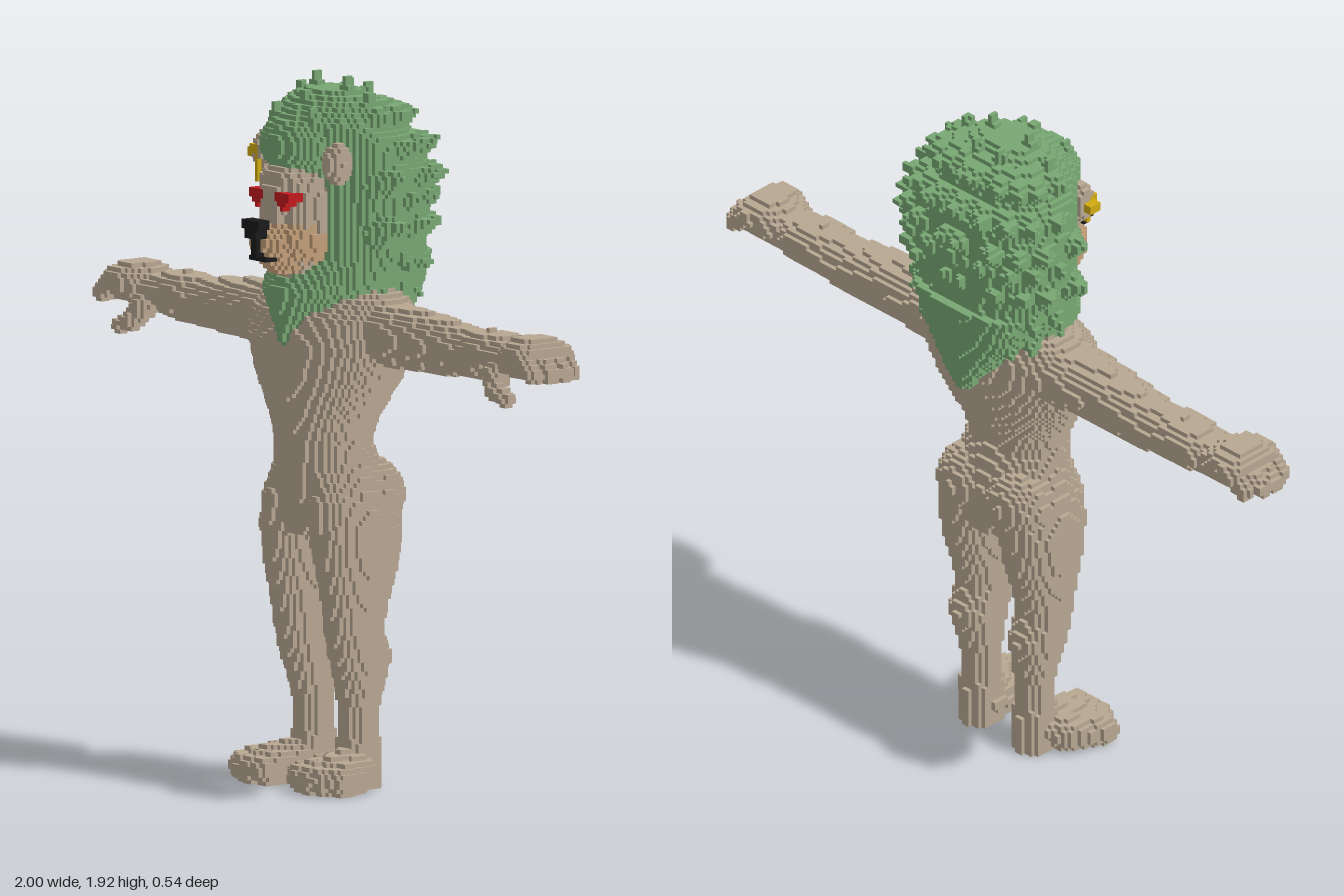
import * as THREE from 'three';

const S = 0.0125;                       // edge of one cube
const NX = 160, NY = 156, NZ = 46;      // grid size
const mix = (a, b, t) => a + (b - a) * t;

// Solid lofted from rows [t, centreU, radiusU, vFront, vBack] with a superellipse section
function loft(rows, nFront = 2.2, nBack = nFront) {
  const last = rows.length - 1;
  return (t, u, v) => {
    if (t < rows[0][0] || t > rows[last][0]) return false;
    let i = 0;
    while (i < last - 1 && t > rows[i + 1][0]) i++;
    const a = rows[i], b = rows[i + 1], k = (t - a[0]) / (b[0] - a[0]);
    const c = mix(a[1], b[1], k), r = mix(a[2], b[2], k);
    const f = mix(a[3], b[3], k), g = mix(a[4], b[4], k), mid = (f + g) / 2, h = (f - g) / 2;
    const n = v > mid ? nFront : nBack;
    return Math.abs((u - c) / r) ** n + Math.abs((v - mid) / h) ** n < 1;
  };
}

const ball = (cx, cy, cz, rx, ry, rz) => (x, y, z) =>
  ((x - cx) / rx) ** 2 + ((y - cy) / ry) ** 2 + ((z - cz) / rz) ** 2 < 1;

const block = (x0, x1, y0, y1, z0, z1) => (x, y, z) =>
  x > x0 && x < x1 && y > y0 && y < y1 && z > z0 && z < z1;

// Rounded cone from a to b
function cone(a, b, ra, rb) {
  const d = b.map((e, i) => e - a[i]);
  const len2 = d[0] ** 2 + d[1] ** 2 + d[2] ** 2;
  return (x, y, z) => {
    const px = x - a[0], py = y - a[1], pz = z - a[2];
    const t = Math.min(1, Math.max(0, (px * d[0] + py * d[1] + pz * d[2]) / len2));
    const r = mix(ra, rb, t);
    return (px - t * d[0]) ** 2 + (py - t * d[1]) ** 2 + (pz - t * d[2]) ** 2 < r * r;
  };
}

const any = (...tests) => (x, y, z, sx) => tests.some((f) => f(x, y, z, sx));
const upright = (f) => (x, y, z) => f(y, x, z);

// Torso with buttocks
const torso = any(
  upright(loft([
    [0.69, 0, 0.19, 0.12, -0.12], [0.8, 0, 0.187, 0.135, -0.125], [0.88, 0, 0.157, 0.137, -0.1],
    [0.94, 0, 0.143, 0.14, -0.08], [1.0, 0, 0.157, 0.15, -0.095], [1.06, 0, 0.197, 0.157, -0.12],
    [1.12, 0, 0.24, 0.163, -0.14], [1.2, 0, 0.275, 0.168, -0.16], [1.28, 0, 0.275, 0.15, -0.165],
    [1.33, 0, 0.25, 0.11, -0.15], [1.36, 0, 0.2, 0.06, -0.11],
  ])),
  ball(0.09, 0.79, -0.06, 0.095, 0.1, 0.085),
);

// Leg, with x mirrored
const leg = upright(loft([
  [0, 0.1, 0.052, 0.05, -0.07], [0.1, 0.1, 0.052, 0.045, -0.07], [0.2, 0.1, 0.047, 0.035, -0.06],
  [0.28, 0.106, 0.058, 0.05, -0.075], [0.36, 0.112, 0.066, 0.075, -0.095],
  [0.43, 0.113, 0.065, 0.09, -0.065], [0.5, 0.115, 0.067, 0.1, -0.08],
  [0.6, 0.115, 0.083, 0.12, -0.11], [0.7, 0.112, 0.092, 0.132, -0.125],
  [0.78, 0.1, 0.09, 0.135, -0.12], [0.86, 0.08, 0.07, 0.12, -0.09],
]));

// Foot: instep and four toes
const foot = any(
  cone([0.1, 0.06, 0], [0.14, 0.04, 0.1], 0.06, 0.06),
  ...[[0.085, 0.16], [0.13, 0.165], [0.175, 0.155], [0.215, 0.13]].map(([x, z]) =>
    cone([mix(0.1, x, 0.6), 0.05, 0.04], [x, 0.04, z], 0.05, 0.04)),
);

// Arm, lofted outwards along x
const armLoft = loft([
  [0.18, 1.25, 0.09, 0.08, -0.125], [0.3, 1.243, 0.08, 0.08, -0.11], [0.4, 1.243, 0.077, 0.065, -0.105],
  [0.5, 1.238, 0.071, 0.055, -0.1], [0.6, 1.234, 0.062, 0.045, -0.095],
  [0.68, 1.242, 0.065, 0.055, -0.1], [0.75, 1.243, 0.056, 0.045, -0.105],
  [0.8, 1.242, 0.043, 0.05, -0.09], [0.86, 1.258, 0.057, 0.075, -0.105],
  [0.92, 1.26, 0.052, 0.075, -0.11], [0.95, 1.252, 0.035, 0.07, -0.105],
]);
const arm = (x, y, z) => armLoft(x, y, z);

// Hand: four curled fingers and a hanging thumb
const hand = any(
  ...[[-0.08, 0.96], [-0.037, 0.985], [0.007, 0.982], [0.048, 0.965]].map(([z, x]) =>
    cone([0.9, 1.265, z], [x, 1.222, z], 0.032, 0.024)),
  cone([0.79, 1.205, 0.04], [0.81, 1.165, 0.06], 0.035, 0.026),
  cone([0.81, 1.165, 0.06], [0.865, 1.147, 0.062], 0.026, 0.02),
);

// Mane: core, fringe, pointed back and spiky tufts
const maneCore = upright(loft([
  [1.2, 0, 0.02, 0.17, 0.1], [1.27, 0, 0.085, 0.18, 0], [1.35, 0, 0.19, 0.19, -0.17],
  [1.45, 0, 0.235, 0.13, -0.21], [1.6, 0, 0.25, 0.125, -0.22], [1.7, 0, 0.245, 0.13, -0.215],
  [1.76, 0, 0.23, 0.15, -0.19], [1.81, 0, 0.19, 0.16, -0.14], [1.86, 0, 0.14, 0.1, -0.09],
  [1.89, 0, 0.07, 0.05, -0.05],
], 1.7, 2.6));
const maneBack = upright(loft([
  [1.18, 0, 0.02, -0.16, -0.2], [1.25, 0, 0.08, -0.08, -0.215], [1.35, 0, 0.17, 0, -0.225],
  [1.45, 0, 0.21, 0, -0.235],
], 2, 2.6));
const tufts = [
  cone([0.06, 1.82, 0], [0.07, 1.915, 0], 0.05, 0.008),
  cone([0.13, 1.79, -0.01], [0.155, 1.885, -0.01], 0.05, 0.008),
  cone([0, 1.82, 0.06], [0, 1.88, 0.09], 0.05, 0.01),
  cone([0.03, 1.8, -0.05], [0.045, 1.895, -0.09], 0.05, 0.008),
  cone([0.08, 1.75, 0.1], [0.085, 1.84, 0.125], 0.045, 0.01),
];
[ // height, half width, depth behind
  [1.36, 0.21, 0.19], [1.45, 0.26, 0.2], [1.53, 0.3, 0.215], [1.6, 0.285, 0.225],
  [1.66, 0.3, 0.24], [1.74, 0.275, 0.22], [1.82, 0.225, 0.16],
].forEach(([y, w, d], row) => {
  for (let i = 0; i < 5; i++) {
    const a = THREE.MathUtils.degToRad(Math.min(90, i * 22 + (row % 2) * 9));
    const x = w * Math.cos(a) ** 0.7, z = -0.02 - d * Math.sin(a) ** 0.7;
    const lift = row < 2 ? -0.03 : 0.012;
    tufts.push(cone([x * 0.68, y - lift, z * 0.68], [x, y + lift, z], 0.058, 0.006));
  }
});
const fringe = ball(0, 1.745, 0.09, 0.13, 0.09, 0.11);
const maneAll = any(maneCore, maneBack, fringe, ...tufts);
const mane = (x, y, z) => y > 1.17 && maneAll(x, y, z);

// Face and ears
const face = any(
  upright(loft([
    [1.39, 0, 0.06, 0.16, -0.04], [1.43, 0, 0.09, 0.185, -0.08], [1.5, 0, 0.11, 0.19, -0.09],
    [1.6, 0, 0.117, 0.2, -0.1], [1.66, 0, 0.1, 0.2, -0.1], [1.69, 0, 0.05, 0.19, -0.1],
  ], 3)),
  block(-1, 0.035, 1.52, 1.64, 0.1, 0.218),
);
const ear = ball(0.157, 1.705, 0.1, 0.038, 0.055, 0.036);
const muzzle = any(
  ball(0, 1.485, 0.14, 0.085, 0.065, 0.115),
  ball(0, 1.44, 0.13, 0.07, 0.05, 0.095),
  ball(0.06, 1.49, 0.12, 0.05, 0.065, 0.085),
);

// Nose, mouth line, heart eyes, ear ornament
const nose = any(
  block(-1, 0.038, 1.525, 1.55, 0.235, 0.272), block(-1, 0.025, 1.5, 1.525, 0.235, 0.272),
  block(-1, 0.008, 1.45, 1.5, 0.225, 0.26),
  (x, y, z) => x < 0.033 && Math.abs(y - 1.444) < 0.008 && z > 0.2 && z < 0.25,
);
const eye = (x, y, z) => {
  const u = Math.abs(x - 0.058);
  return z > 0.165 && z < 0.213 && (Math.hypot(u - 0.017, y - 1.612) < 0.019
    || (y < 1.615 && y > 1.572 && u < (y - 1.57) * 0.9));
};
const earring = (x, y, z, sx) => sx < 0 && any(
  block(0.15, 0.165, 1.63, 1.73, 0.125, 0.142),
  block(0.15, 0.185, 1.7, 1.73, 0.11, 0.142),
  block(0.175, 0.21, 1.69, 1.715, 0.09, 0.13),
)(x, y, z);

export function createModel() {
  const paint = (name, color) => Object.assign(new THREE.MeshStandardMaterial({ color }), { name });
  const fur = paint('fur', 0xb8a792), green = paint('mane green', 0x78a874);
  const tan = paint('muzzle tan', 0xc4a079), red = paint('eye red', 0xc41a1e);
  const black = paint('nose black', 0x1a1a1a), gold = paint('gold', 0xd2ac12);

  // Later parts replace earlier ones where they overlap
  const parts = [
    ['torso', fur, torso], ['legs', fur, leg], ['feet', fur, foot], ['arms', fur, arm],
    ['hands', fur, hand], ['mane', green, mane], ['face', fur, face], ['ears', fur, ear],
    ['muzzle', tan, muzzle], ['nose', black, nose], ['eyes', red, eye], ['earring', gold, earring],
  ];

  // Fill the grid with part numbers
  const grid = new Uint8Array(NX * NY * NZ);
  const size = [NX, NY, NZ], origin = [-NX * S / 2, 0, -NZ * S / 2];
  const at = (c) => c.some((e, i) => e < 0 || e >= size[i]) ? 0 : grid[(c[1] * NZ + c[2]) * NX + c[0]];
  const eachCell = (fn) => {
    for (let j = 0; j < NY; j++) for (let k = 0; k < NZ; k++) for (let i = 0; i < NX; i++) fn(i, j, k);
  };
  eachCell((i, j, k) => {
    const x = origin[0] + (i + 0.5) * S, y = (j + 0.5) * S, z = origin[2] + (k + 0.5) * S;
    for (let p = parts.length; p > 0; p--) {
      if (parts[p - 1][2](Math.abs(x), y, z, x)) { grid[(j * NZ + k) * NX + i] = p; break; }
    }
  });

  // Collect the exposed cube faces of each part
  const data = parts.map(() => ({ position: [], normal: [], index: [] }));
  const corners = [[0, 0], [1, 0], [1, 1], [0, 1]];
  eachCell((i, j, k) => {
    const cell = [i, j, k], p = at(cell);
    if (!p) return;
    const out = data[p - 1];
    for (let d = 0; d < 3; d++) for (const s of [1, -1]) {
      const next = cell.slice();
      next[d] += s;
      if (at(next)) continue;
      const base = out.position.length / 3;
      for (const [a, b] of corners) {
        const c = cell.slice(), n = [0, 0, 0];
        c[d] += s > 0 ? 1 : 0;
        c[(d + 1) % 3] += a;
        c[(d + 2) % 3] += b;
        n[d] = s;
        out.position.push(...c.map((e, q) => origin[q] + e * S));
        out.normal.push(...n);
      }
      const order = s > 0 ? [0, 1, 2, 0, 2, 3] : [0, 2, 1, 0, 3, 2];
      out.index.push(...order.map((e) => base + e));
    }
  });

  const group = new THREE.Group();
  group.name = 'standing lion figure';
  parts.forEach(([name, material], p) => {
    const geometry = new THREE.BufferGeometry();
    geometry.setAttribute('position', new THREE.Float32BufferAttribute(data[p].position, 3));
    geometry.setAttribute('normal', new THREE.Float32BufferAttribute(data[p].normal, 3));
    geometry.setIndex(data[p].index);
    const mesh = new THREE.Mesh(geometry, material);
    mesh.name = name;
    group.add(mesh);
  });
  return group;
}
